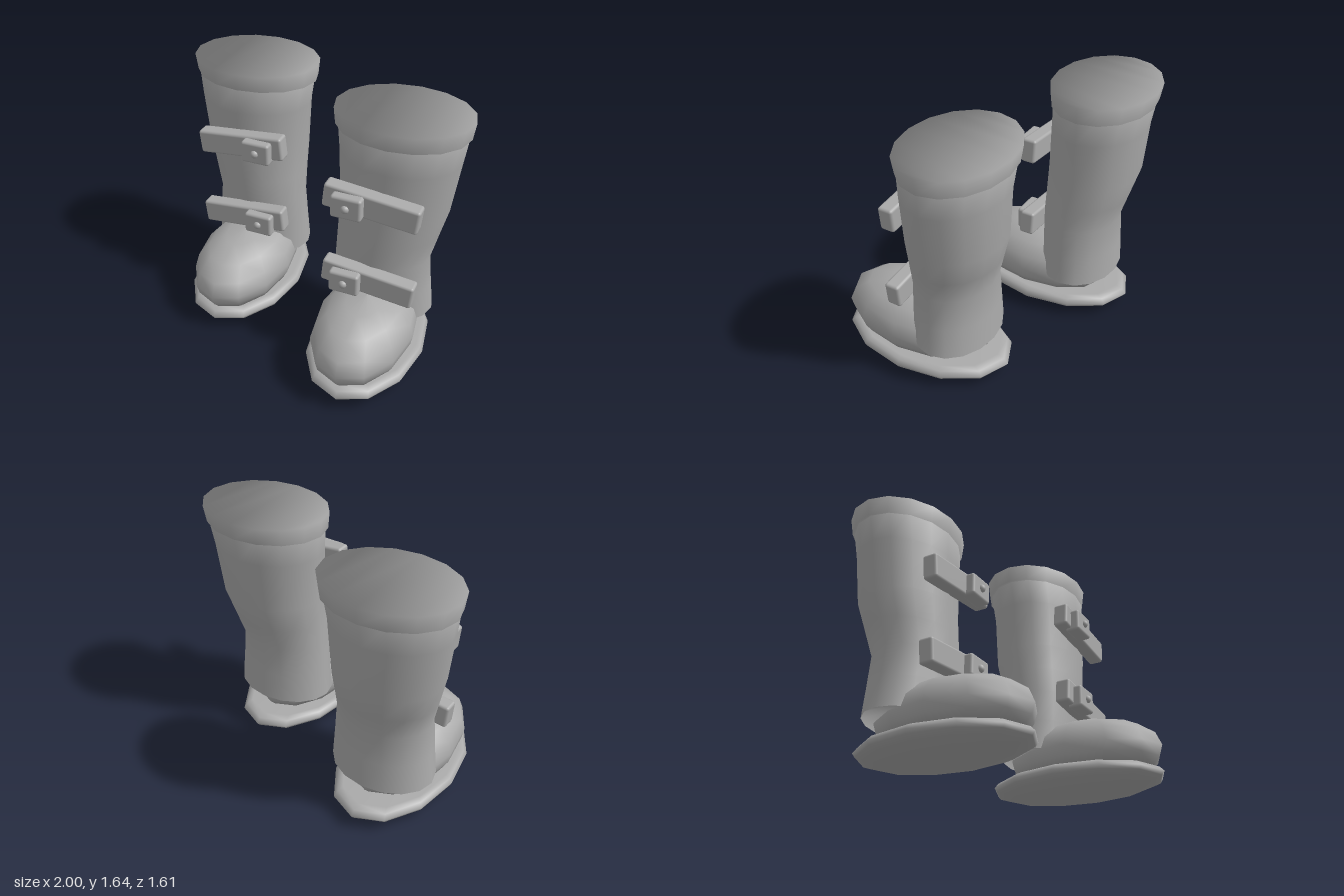
import * as THREE from 'three';
import { RoundedBoxGeometry } from 'three/addons/geometries/RoundedBoxGeometry.js';

const SIDES = 16;

// Closed tube through elliptical rings [y, xMin, xMax, zMin, zMax], softly shaded at the top rim
function loft(rings) {
  const pos = [], side = [], caps = [];
  for (const [y, x0, x1, z0, z1] of rings) {
    for (let i = 0; i < SIDES; i++) {
      const a = (i / SIDES) * Math.PI * 2;
      pos.push((x0 + x1) / 2 + (x1 - x0) / 2 * Math.cos(a), y, (z0 + z1) / 2 + (z1 - z0) / 2 * Math.sin(a));
    }
  }
  for (let r = 0; r < rings.length - 1; r++) {
    for (let i = 0; i < SIDES; i++) {
      const a = r * SIDES + i, b = r * SIDES + (i + 1) % SIDES;
      side.push(a, a + SIDES, b, b, a + SIDES, b + SIDES);
    }
  }
  const top = (rings.length - 1) * SIDES;
  for (let i = 0; i < SIDES / 2; i++) {
    const p = i, p2 = i + 1, q = (SIDES - i) % SIDES, q2 = SIDES - i - 1;
    const tris = [];
    if (p !== q) tris.push([p, q, p2]);
    if (p2 !== q2) tris.push([q, q2, p2]);
    for (const [a, b, c] of tris) caps.push(top + a, top + b, top + c, a, c, b);
  }
  const g = new THREE.BufferGeometry();
  g.setAttribute('position', new THREE.Float32BufferAttribute(pos, 3));
  g.setIndex(side);
  g.computeVertexNormals();
  const n = g.attributes.normal;
  for (let i = top; i < n.count; i++) n.setY(i, n.getY(i) + 0.4);
  g.normalizeNormals();
  g.setIndex([...side, ...caps]);
  return g;
}

// Twelve-sided oval body from a profile of [radius fraction, y]
function oval(profile, hx, hz) {
  const g = new THREE.LatheGeometry(profile.map(([r, y]) => new THREE.Vector2(r, y)), 12);
  return g.scale(hx, 1, hz);
}

export function createModel() {
  const grey = new THREE.MeshStandardMaterial({ color: 0xaaaaaa });
  grey.name = 'grey';
  const model = new THREE.Group();
  model.name = 'boots';

  function boot(name, s, z) {
    const group = new THREE.Group();
    group.name = name;
    group.position.z = z;
    model.add(group);
    const add = (part, geometry, x, y, pz) => {
      const mesh = new THREE.Mesh(geometry, grey);
      mesh.name = part;
      mesh.position.set(x * s, y, pz);
      group.add(mesh);
      return mesh;
    };
    const mirrorRings = rings => rings.map(([y, a, b, c, d]) =>
      s > 0 ? [y, a, b, c, d] : [y, -b, -a, c, d]);

    // Sole and rounded foot
    add('sole', oval([[0, 0.005], [0.33, 0.01], [0.6, 0.024], [0.85, 0.05], [0.97, 0.075],
      [1, 0.1], [0.95, 0.13], [0.87, 0.145], [0, 0.152]], 0.372, 0.6), 0.517, 0, 0.2);
    add('foot', oval([[0, 0.14], [0.86, 0.14], [0.96, 0.2], [1, 0.27], [0.924, 0.36],
      [0.707, 0.44], [0.383, 0.49], [0, 0.508]], 0.32, 0.535), 0.515, 0, 0.265);

    // Leg and its cuff
    add('shaft', loft(mirrorRings([
      [0.28, 0.175, 0.865, -0.3, 0.22],
      [0.48, 0.19, 0.842, -0.29, 0.222],
      [0.69, 0.203, 0.822, -0.28, 0.224],
      [0.86, 0.205, 0.862, -0.326, 0.222],
      [1.04, 0.203, 0.906, -0.375, 0.22],
      [1.37, 0.188, 0.948, -0.392, 0.216],
      [1.56, 0.165, 0.972, -0.42, 0.212],
    ])), 0, 0, 0);
    add('cuff', loft(mirrorRings([
      [1.537, 0.148, 0.983, -0.428, 0.217],
      [1.645, 0.138, 0.998, -0.445, 0.232],
    ])), 0, 0, 0);

    // Two slanted straps, each with a buckle and a stud
    for (const y of [1.18, 0.62]) {
      add('strap', new RoundedBoxGeometry(0.6, 0.16, 0.1, 2, 0.018), 0.515, y, 0.253).rotation.z = -0.1 * s;
      add('buckle', new RoundedBoxGeometry(0.195, 0.15, 0.1, 2, 0.018), 0.382, y, 0.309);
      add('stud', new THREE.SphereGeometry(0.027, 12, 8), 0.382, y, 0.356);
    }
  }

  boot('leftBoot', 1, 0);
  boot('rightBoot', -1, -0.36);
  return model;
}
